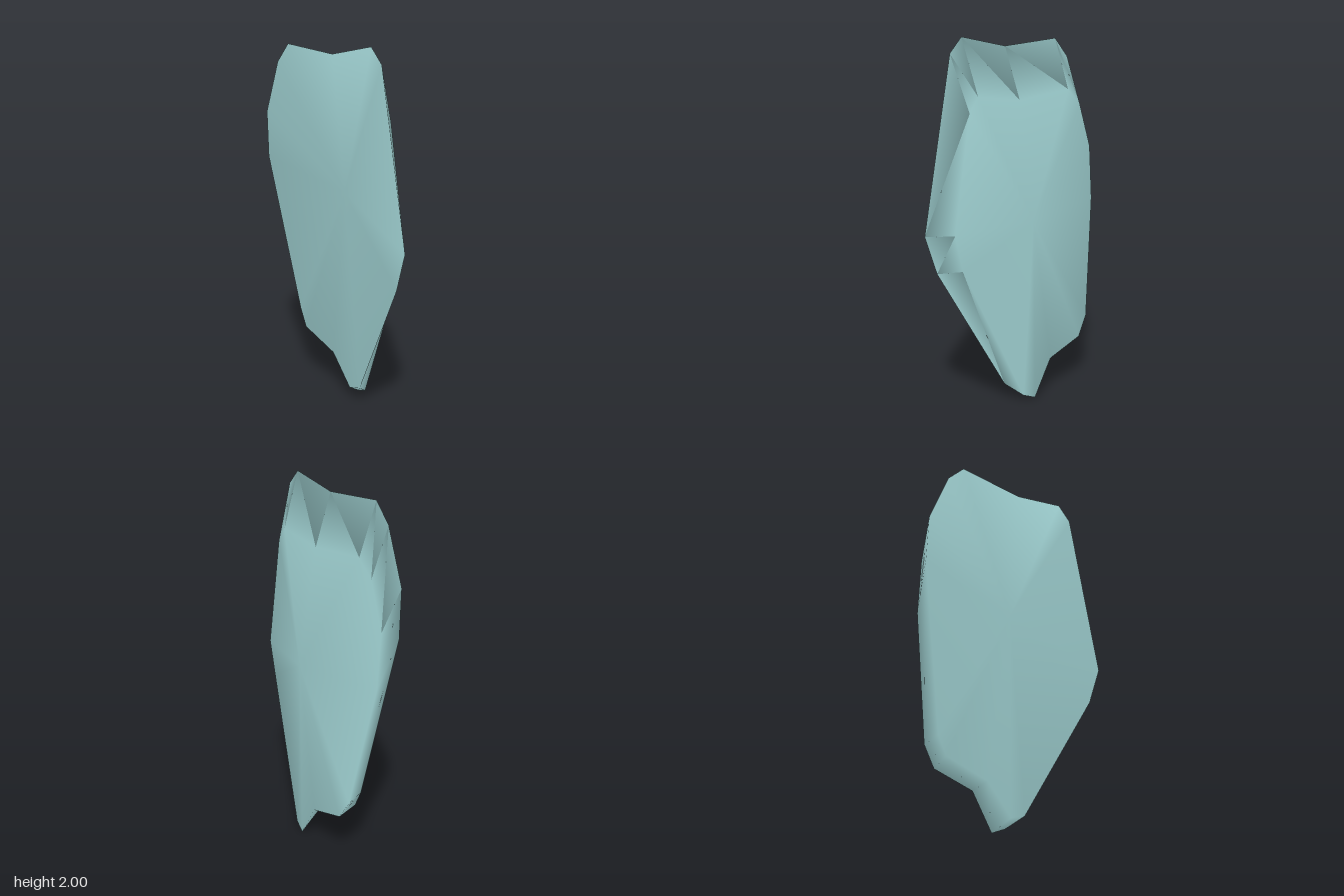
import * as THREE from 'three';

// Shard slab: two matching rims, each closed by a fan, joined by slanted edge walls.
export function createModel() {
  const group = new THREE.Group();
  group.name = 'shard';
  const paleTeal = new THREE.MeshStandardMaterial({ color: 0xa2d4d5, side: THREE.DoubleSide });
  paleTeal.name = 'paleTeal';

  // rims run counter-clockwise seen from the front, starting at the lower tip
  const frontRim = [
    [0.03, 0.065, 0], [0.12, 0.09, 0], [0.52, 0.79, 0.09], [0.59, 1.0, 0.1],
    [0.4, 1.92, 0.1], [0.32, 2.0, 0.1], [0.01, 1.94, 0.1], [-0.38, 1.965, 0.1],
    [-0.48, 1.86, 0.1], [-0.595, 1.57, 0.1], [-0.6, 1.31, 0.09],
    [-0.43, 0.41, 0], [-0.38, 0.31, 0], [-0.12, 0.23, 0],
  ];
  const backRim = [
    [-0.015, 0, -0.105], [0.06, 0.03, -0.09], [0.42, 0.8, 0], [0.47, 1.0, 0],
    [0.36, 1.62, 0], [0.3, 1.7, 0], [0, 1.66, 0], [-0.38, 1.69, 0],
    [-0.48, 1.6, 0], [-0.57, 1.35, 0], [-0.57, 1.05, -0.02],
    [-0.45, 0.38, -0.095], [-0.38, 0.27, -0.105], [-0.14, 0.2, -0.105],
  ];
  const n = frontRim.length;
  const frontCentre = 2 * n, backCentre = 2 * n + 1;
  const points = [...frontRim, ...backRim, [0.01, 1.2, 0.02], [0, 1.02, -0.105]];

  const index = [];
  for (let i = 0; i < n; i++) {
    const j = (i + 1) % n;
    index.push(frontCentre, i, j);              // front face
    index.push(backCentre, n + j, n + i);       // back face
    index.push(i, n + i, n + j, i, n + j, j);   // edge wall
  }

  const geometry = new THREE.BufferGeometry();
  geometry.setAttribute('position', new THREE.Float32BufferAttribute(points.flat(), 3));
  geometry.setIndex(index);
  geometry.computeVertexNormals();

  const slab = new THREE.Mesh(geometry, paleTeal);
  slab.name = 'shardSlab';
  group.add(slab);
  return group;
}
